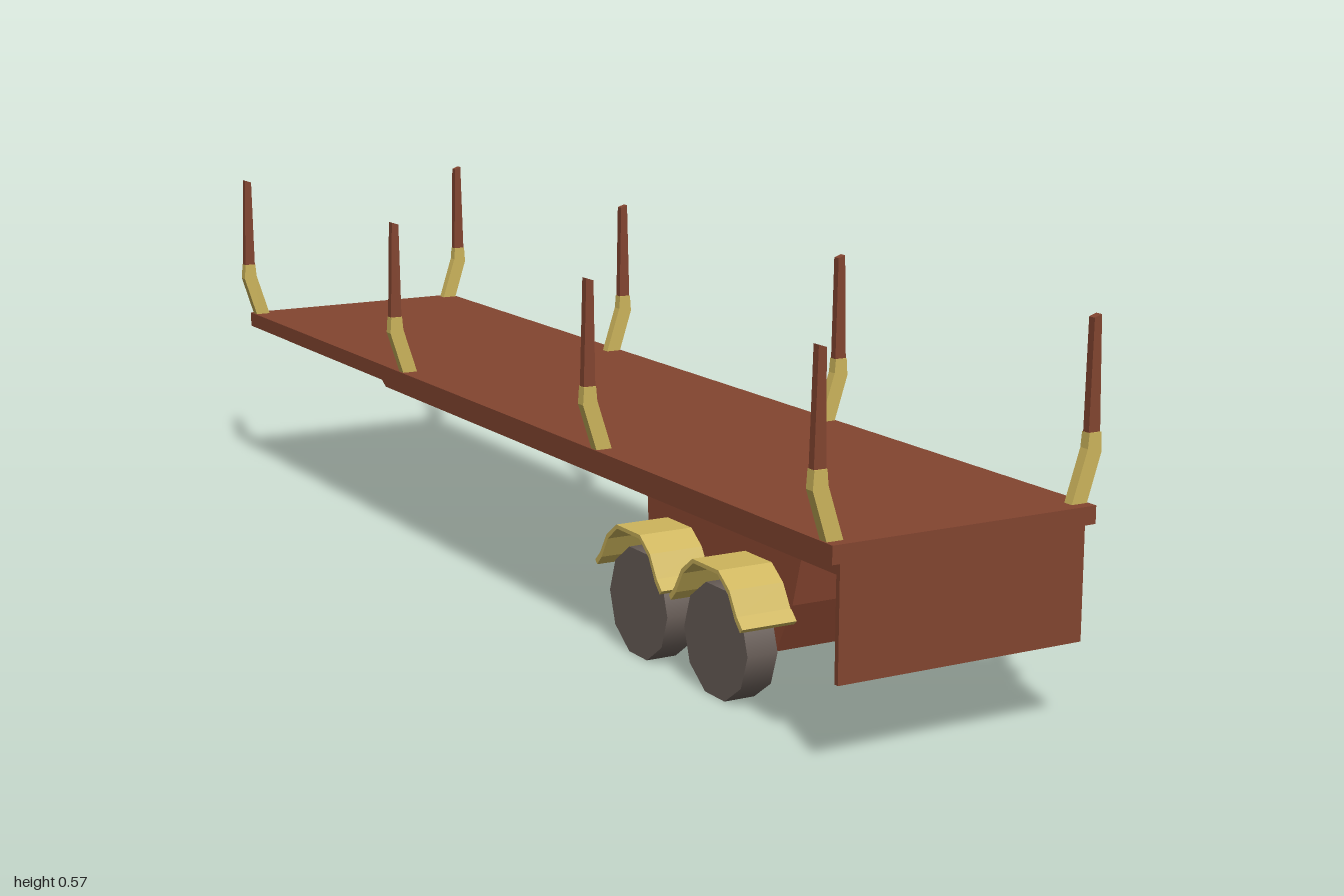
import * as THREE from 'three';

const mat = (name, color, side = THREE.FrontSide) => {
  const m = new THREE.MeshStandardMaterial({ color, side });
  m.name = name;
  return m;
};

export function createModel() {
  const brown = mat('rust brown', 0x834530);
  const lightBrown = mat('light rust', 0x904a33);
  const tan = mat('underside tan', 0x8c6e40);
  const yellow = mat('mustard yellow', 0xcdb55c);
  const rubber = mat('tyre grey', 0x6a5f59);

  const model = new THREE.Group();
  model.name = 'flatbedTrailer';
  const chassis = new THREE.Group();
  chassis.name = 'chassis';
  chassis.rotation.x = -0.003; // slight rake
  model.add(chassis);

  const add = (parent, name, geometry, material, x = 0, y = 0, z = 0) => {
    const mesh = new THREE.Mesh(geometry, material);
    mesh.name = name;
    mesh.position.set(x, y, z);
    parent.add(mesh);
    return mesh;
  };
  const extrude = (points, depth) => {
    const shape = new THREE.Shape(points.map(([a, b]) => new THREE.Vector2(a, b)));
    return new THREE.ExtrudeGeometry(shape, { depth, bevelEnabled: false }).translate(0, 0, -depth / 2);
  };
  // side profile given as [z, y], extruded across x
  const sideProfile = (points, width) => extrude(points, width).rotateY(-Math.PI / 2);

  // Deck and the frame under it (tan bottom face)
  add(chassis, 'deck', new THREE.BoxGeometry(0.43, 0.026, 2), brown, 0, 0.302, 0);
  add(chassis, 'frame', new THREE.BoxGeometry(0.3, 0.034, 1.96),
    [brown, brown, brown, tan, brown, brown], 0, 0.274, 0.005);

  // Central beam with a sloped end
  add(chassis, 'beam', sideProfile(
    [[0.975, 0.26], [-0.7, 0.26], [-0.64, 0.22], [0.975, 0.22]], 0.19), brown);

  // Coupling pin
  add(chassis, 'couplingPin', new THREE.CylinderGeometry(0.036, 0.025, 0.06, 6).toNonIndexed(),
    brown, 0, 0.23, -0.87).geometry.computeVertexNormals();

  // Hanging end flap with triangular gussets
  add(chassis, 'endFlap', new THREE.BoxGeometry(0.4, 0.166, 0.008), brown, 0, 0.207, 0.992);
  for (const x of [-0.09, 0.09]) {
    add(chassis, 'flapGusset', sideProfile(
      [[0.99, 0.26], [0.96, 0.26], [0.968, 0.21], [0.99, 0.13]], 0.008), brown, x);
  }

  // Suspension body, dipping at each axle
  add(model, 'suspensionBody', sideProfile([
    [0.745, 0.222], [0.725, 0.15], [0.685, 0.072], [0.59, 0.072], [0.55, 0.15],
    [0.495, 0.15], [0.46, 0.072], [0.365, 0.072], [0.325, 0.15], [0.32, 0.222],
  ], 0.186), lightBrown);

  // Wheels and mudguards
  const wheelGeo = new THREE.CylinderGeometry(0.086, 0.086, 0.05, 10)
    .rotateY(Math.PI / 2).rotateY(Math.PI / 10).rotateZ(Math.PI / 2);
  wheelGeo.computeBoundingBox();
  const wheelY = -wheelGeo.boundingBox.min.y + 0.002;
  const arc = [[-0.1, 0.13], [-0.085, 0.145], [-0.065, 0.178], [-0.035, 0.2],
    [0.035, 0.2], [0.065, 0.178], [0.085, 0.145], [0.1, 0.13]];
  const inner = arc.map(([z, y]) => [z * 0.94, y - 0.006]).reverse();
  const guardGeo = sideProfile([...arc, ...inner], 0.09);
  for (const z of [0.415, 0.635]) {
    for (const side of [-1, 1]) {
      add(model, 'wheel', wheelGeo, rubber, side * 0.139, wheelY, z);
      add(model, 'mudguard', guardGeo, yellow, side * 0.137, 0, z);
    }
  }

  // Side stakes: angled yellow foot and tapered upright
  const footGeo = extrude([[0.185, 0.31], [0.211, 0.31], [0.235, 0.385], [0.233, 0.412],
    [0.213, 0.412], [0.211, 0.39]], 0.016);
  const uprightGeo = extrude([[0.213, 0.4], [0.233, 0.4], [0.228, 0.574], [0.216, 0.57]], 0.012);
  for (const z of [0.975, 0.367, -0.313, -0.983]) {
    for (const side of [-1, 1]) {
      const stake = new THREE.Group();
      stake.name = 'stake';
      stake.position.z = z;
      stake.rotation.y = side < 0 ? Math.PI : 0;
      add(stake, 'stakeFoot', footGeo, yellow);
      add(stake, 'stakeUpright', uprightGeo, brown);
      chassis.add(stake);
    }
  }
  return model;
}
